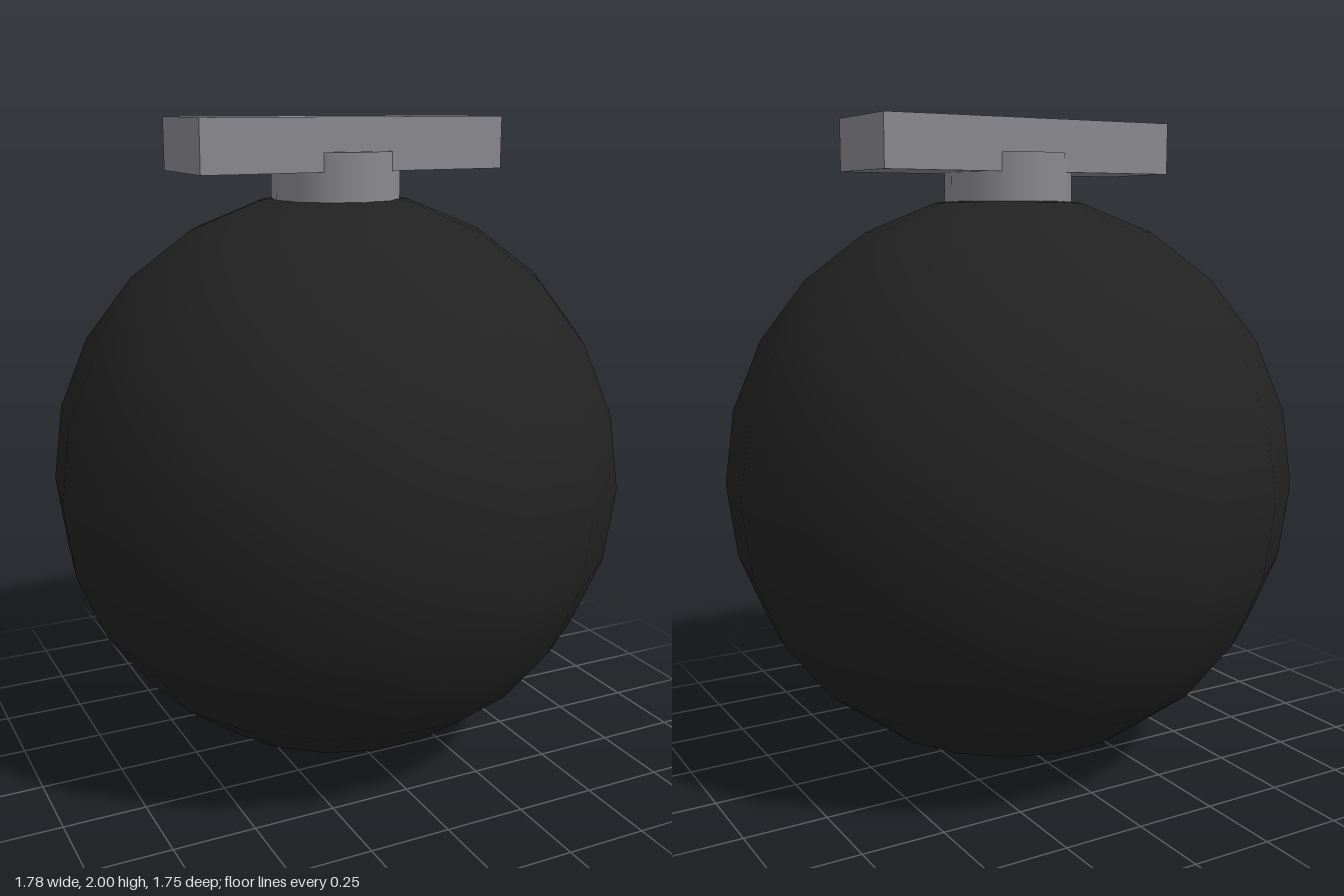
import * as THREE from 'three';

export function createModel() {
  const model = new THREE.Group();
  model.name = 'roundBodyWithCap';

  const black = new THREE.MeshStandardMaterial({ color: 0x222222 });
  black.name = 'matteBlack';
  const grey = new THREE.MeshStandardMaterial({ color: 0x8a8a90 });
  grey.name = 'metalGrey';

  const add = (name, geometry, material, y) => {
    const mesh = new THREE.Mesh(geometry, material);
    mesh.name = name;
    mesh.position.y = y;
    model.add(mesh);
  };

  // Smooth-shaded ball
  add('body', new THREE.SphereGeometry(0.89, 18, 12), black, 0.892);

  // Short neck sunk into the top of the ball
  add('neck', new THREE.CylinderGeometry(0.197, 0.197, 0.2, 12), grey, 1.8);

  // Flat bar handle across the neck
  add('handle', new THREE.BoxGeometry(0.984, 0.157, 0.314), grey, 1.9215);

  return model;
}
